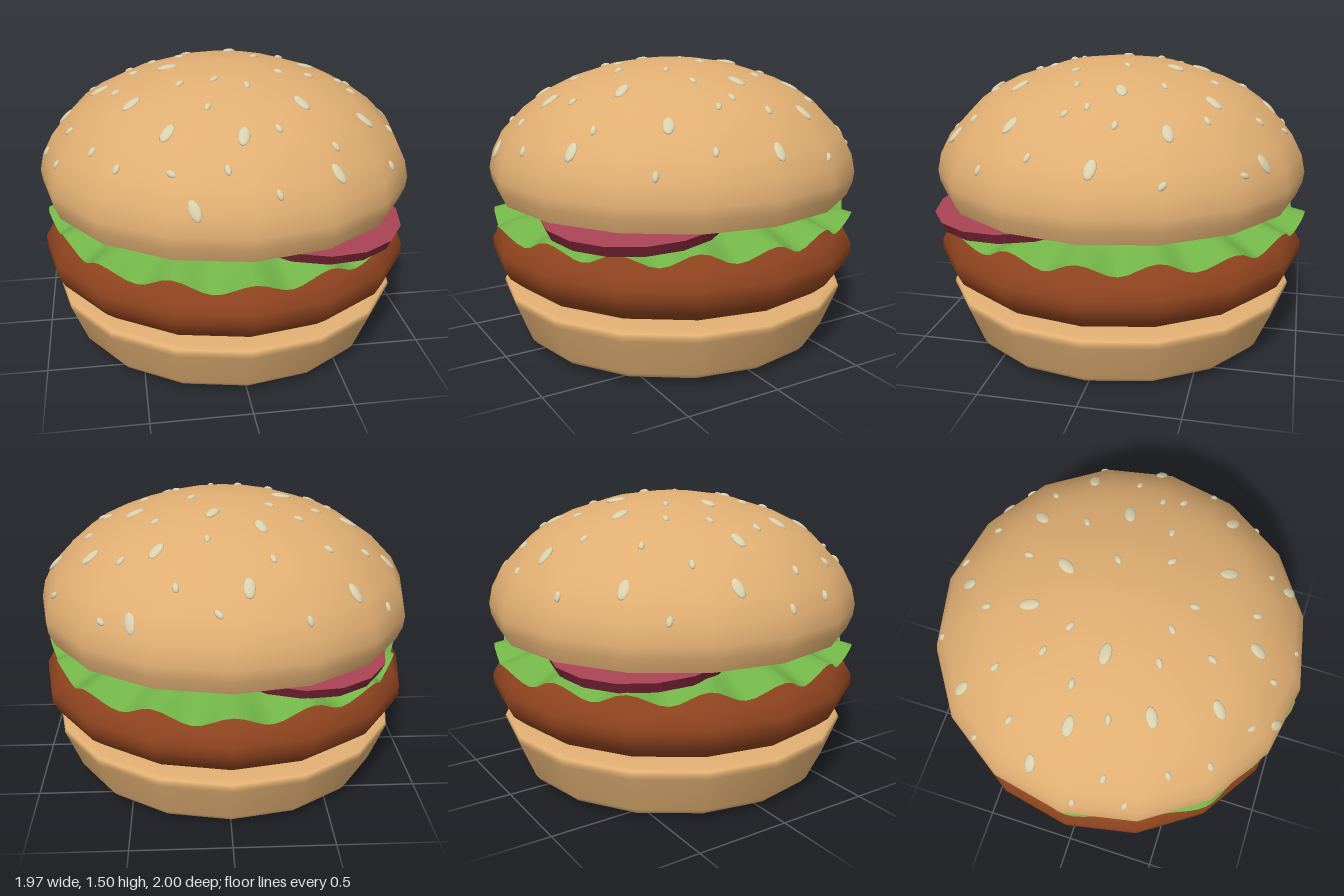
import * as THREE from 'three';
import { ParametricGeometry } from 'three/addons/geometries/ParametricGeometry.js';

const SIDES = 16;
const material = (color, side = THREE.FrontSide) =>
  new THREE.MeshStandardMaterial({ color, side });

function addMesh(parent, name, geometry, mat) {
  const mesh = new THREE.Mesh(geometry, mat);
  mesh.name = name;
  parent.add(mesh);
  return mesh;
}

// Profiles are [radius, height] pairs running from bottom to top
const lathe = (profile) =>
  new THREE.LatheGeometry(profile.map(([r, y]) => new THREE.Vector2(r, y)), SIDES);

const DOME = [
  [0.95, 0.8], [0.978, 0.87], [0.985, 0.93], [0.965, 1.02], [0.91, 1.125], [0.79, 1.25],
  [0.69, 1.32], [0.56, 1.385], [0.33, 1.46], [0.16, 1.487], [0, 1.495],
];
const PATTY = [
  [0, 0.32], [0.68, 0.32], [0.8, 0.335], [0.89, 0.365], [0.955, 0.42], [0.987, 0.485],
  [0.985, 0.54], [0.945, 0.61], [0.87, 0.665], [0.75, 0.7], [0, 0.71],
];
const BOTTOM_BUN = [
  [0, 0], [0.3, 0.002], [0.72, 0.013], [0.79, 0.022], [0.825, 0.037], [0.848, 0.065],
  [0.925, 0.262], [0.935, 0.288], [0.928, 0.304], [0.9, 0.312], [0.8, 0.32], [0, 0.325],
];

// Large and small seeds: x, z, angle in degrees as seen from above
const LARGE_SEEDS = [
  [-0.08, -0.78, 90], [0.46, -0.79, 80], [-0.59, -0.64, 50], [0.34, -0.53, -55], [-0.16, -0.41, 75],
  [0.07, -0.3, -60], [0.67, -0.36, -20], [0.46, -0.1, -20], [-0.84, -0.19, 0], [-0.65, -0.05, 0],
  [-0.3, 0.02, 0], [-0.5, 0.31, -30], [-0.35, 0.6, -50], [-0.01, 0.7, -75], [0.31, 0.46, 55],
  [0.65, 0.4, 30], [0.42, 0.78, 50], [0.89, -0.05, 10], [-0.26, 0.9, 60],
];
const SMALL_SEEDS = [
  [-0.35, -0.85, 50], [0.06, -0.87, 40], [0.25, -0.75, 80], [-0.2, -0.63, 75], [0.1, -0.51, -85],
  [0.51, -0.52, -40], [-0.48, -0.48, 35], [-0.69, -0.34, 25], [0.35, -0.29, -30], [-0.36, -0.27, 20],
  [-0.22, -0.18, 30], [0.17, -0.07, -35], [0.7, -0.12, 5], [0.86, -0.37, 45], [-0.47, -0.09, 0],
  [-0.57, 0.12, -15], [-0.81, 0.17, 10], [-0.94, 0.05, 0], [0.42, 0.13, 0], [0.61, 0.03, 0],
  [0.65, 0.13, 30], [0.25, 0.18, 40], [-0.26, 0.27, -35], [-0.09, 0.28, -45], [0.06, 0.35, 80],
  [-0.15, 0.5, -70], [-0.7, 0.46, -40], [-0.59, 0.64, -45], [0.16, 0.65, 65], [0.43, 0.67, 45],
  [0.76, 0.53, 40], [-0.35, 0.78, 40], [-0.1, 0.82, 80], [0.83, 0.26, 30], [-0.88, 0.3, 20],
  [0.12, 0.9, 50], [-0.78, -0.52, 60], [0.6, -0.71, 50],
];

// Point and normal on the faceted dome above (x, z)
function domeSurface(x, z) {
  const step = (2 * Math.PI) / SIDES;
  const azimuth = Math.atan2(x, z);
  const middle = (Math.floor(azimuth / step) + 0.5) * step;
  const r = Math.min(0.98, (Math.hypot(x, z) * Math.cos(azimuth - middle)) / Math.cos(step / 2));
  let i = 2;
  while (i < DOME.length - 2 && DOME[i + 1][0] > r) i++;
  const [r0, y0] = DOME[i];
  const [r1, y1] = DOME[i + 1];
  const y = y0 + ((r0 - r) / (r0 - r1)) * (y1 - y0);
  const normal = new THREE.Vector3(
    Math.sin(azimuth) * (y1 - y0), r0 - r1, Math.cos(azimuth) * (y1 - y0)).normalize();
  return { point: new THREE.Vector3(x, y, z), normal };
}

function addSeeds(parent, name, seeds, length, width, mat) {
  const geometry = new THREE.SphereGeometry(1, 12, 8).scale(length, 0.013, width);
  seeds.forEach(([x, z, degrees]) => {
    const { point, normal } = domeSurface(x, z);
    const a = THREE.MathUtils.degToRad(degrees);
    // Long axis lies in the surface and keeps its angle from above
    const along = new THREE.Vector3(Math.cos(a), 0, Math.sin(a));
    along.y = -(along.x * normal.x + along.z * normal.z) / normal.y;
    along.normalize();
    const across = new THREE.Vector3().crossVectors(along, normal);
    const seed = addMesh(parent, name, geometry, mat);
    seed.quaternion.setFromRotationMatrix(new THREE.Matrix4().makeBasis(along, normal, across));
    seed.position.copy(point);
  });
}

// Drooping leaf with a ruffled rim
function lettuceGeometry() {
  return new ParametricGeometry((u, v, target) => {
    const a = u * Math.PI * 2;
    const ruffle = Math.max(0, (v - 0.65) / 0.35);
    const wave = Math.cos(16 * a);
    const rim = 0.955 + 0.02 * Math.cos(2 * a) + 0.012 * Math.cos(8 * a) + 0.015 * wave;
    const r = v * THREE.MathUtils.lerp(0.95, rim, ruffle);
    const y = 0.772 - 0.1 * Math.pow(ruffle, 1.2) + 0.034 * ruffle * wave;
    target.set(Math.sin(a) * r, y, Math.cos(a) * r);
  }, 128, 12);
}

export function createModel() {
  const model = new THREE.Group();
  model.name = 'burger';

  const bun = material(0xe0ae72);
  const seedMat = material(0xd8cfac);
  const sliceMats = [material(0x7d2638), material(0xa84354), material(0xa84354)];

  addMesh(model, 'bottomBun', lathe(BOTTOM_BUN), bun);
  addMesh(model, 'patty', lathe(PATTY), material(0x8c421e));
  addMesh(model, 'lettuce', lettuceGeometry(), material(0x72b448, THREE.DoubleSide));

  // Two slices on opposite corners, tipped outward
  const sliceGeometry = new THREE.CylinderGeometry(0.47, 0.45, 0.055, SIDES);
  [[0.375, 0.425], [-0.34, -0.4]].forEach(([x, z]) => {
    const slice = addMesh(model, 'redSlice', sliceGeometry, sliceMats);
    slice.position.set(x, 0.772, z);
    const axis = new THREE.Vector3(z, 0, -x).normalize();
    slice.quaternion.setFromAxisAngle(axis, 0.085);
  });

  // Domed top with a flat underside
  const topBun = new THREE.Group();
  topBun.name = 'topBun';
  model.add(topBun);
  addMesh(topBun, 'dome', lathe(DOME), bun);
  const underside = addMesh(topBun, 'underside', new THREE.CircleGeometry(0.95, SIDES), bun);
  underside.rotation.x = Math.PI / 2;
  underside.position.y = 0.8;
  addSeeds(topBun, 'largeSeed', LARGE_SEEDS, 0.055, 0.029, seedMat);
  addSeeds(topBun, 'smallSeed', SMALL_SEEDS, 0.028, 0.016, seedMat);

  return model;
}
